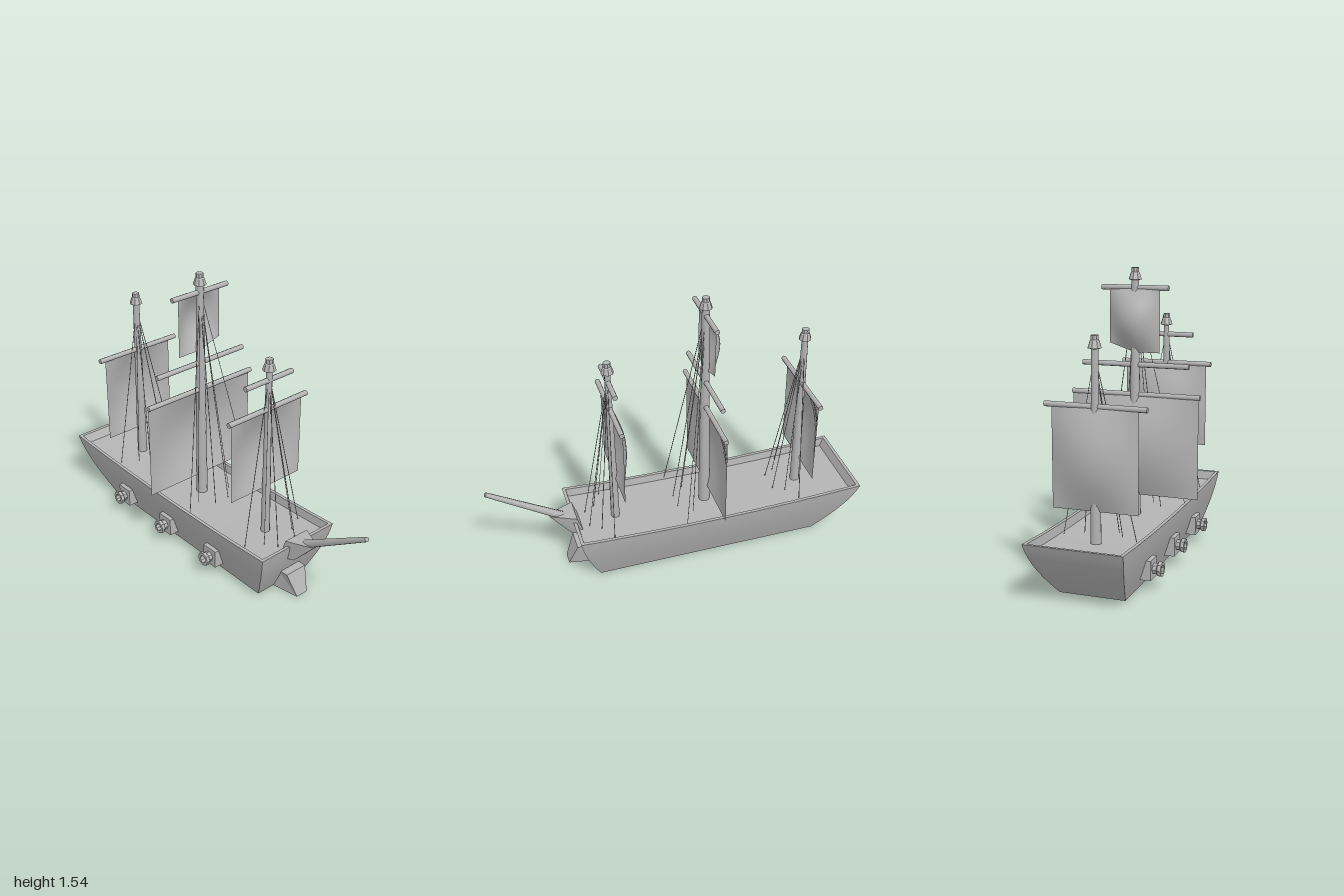
import * as THREE from 'three';

const grey = new THREE.MeshStandardMaterial({ color: 0xb4b4b4, side: THREE.DoubleSide });
grey.name = 'plain grey';

const lerp = (a, b, k) => a + (b - a) * k;

function add(parent, name, geometry) {
  const mesh = new THREE.Mesh(geometry, grey);
  mesh.name = name;
  parent.add(mesh);
  return mesh;
}

// Curved patch: fn(s, t) gives [x, y, z] for s, t in 0..1
function patch(fn, n, m) {
  const geo = new THREE.PlaneGeometry(1, 1, n, m);
  const pos = geo.attributes.position;
  for (let j = 0, i = 0; j <= m; j++) {
    for (let k = 0; k <= n; k++, i++) pos.setXYZ(i, ...fn(k / n, j / m));
  }
  geo.computeVertexNormals();
  return geo;
}

// Tapered rod between two points
function rod(parent, name, a, b, ra, rb, sides = 8) {
  const from = new THREE.Vector3(...a), to = new THREE.Vector3(...b);
  const dir = to.clone().sub(from);
  const mesh = add(parent, name, new THREE.CylinderGeometry(rb, ra, dir.length(), sides));
  mesh.position.copy(from).add(to).multiplyScalar(0.5);
  mesh.quaternion.setFromUnitVectors(new THREE.Vector3(0, 1, 0), dir.normalize());
  return mesh;
}

// Six-sided block from a back and a front quad of corners
function block(back, front) {
  const c = [...back, ...front];
  const quads = [[3, 2, 1, 0], [4, 5, 6, 7], [0, 1, 5, 4], [1, 2, 6, 5], [2, 3, 7, 6], [3, 0, 4, 7]];
  const verts = quads.flatMap(([p, q, r, s]) => [p, q, r, p, r, s].flatMap((i) => c[i]));
  const geo = new THREE.BufferGeometry();
  geo.setAttribute('position', new THREE.Float32BufferAttribute(verts, 3));
  geo.computeVertexNormals();
  return geo;
}

// Hull surface: t is height, s runs stern to bow, k runs across, inset moves inward
const sheer = (x) => 0.285 + 0.023 * ((x + 0.13) / 0.8) ** 2;
function hullPoint(t, s, k, inset = 0) {
  const c = 0.5 * (t + Math.sin(t * Math.PI / 2));
  const x = lerp(-0.715 - 0.245 * c + inset, 0.55 + 0.11 * c - inset, s);
  return [x, t * sheer(x), k * (0.17 + 0.08 * c - inset)];
}

function buildHull(ship) {
  const hull = new THREE.Group();
  hull.name = 'hull';
  ship.add(hull);
  const deckT = 0.85, wall = 0.018;
  // Each band goes from one height and inset to another
  const bands = [
    ['outerWall', 0, 0, 1, 0, 8],
    ['rim', 1, 0, 1, wall, 1],
    ['innerWall', 1, wall, deckT, wall, 1],
  ];
  for (const [name, t0, i0, t1, i1, m] of bands) {
    const at = (s, k, t) => hullPoint(lerp(t0, t1, t), s, k, lerp(i0, i1, t));
    add(hull, name + 'Starboard', patch((s, t) => at(s, 1, t), 16, m));
    add(hull, name + 'Port', patch((s, t) => at(1 - s, -1, t), 16, m));
    add(hull, name + 'Bow', patch((s, t) => at(1, 1 - 2 * s, t), 4, m));
    add(hull, name + 'Stern', patch((s, t) => at(0, 2 * s - 1, t), 4, m));
  }
  add(hull, 'deck', patch((s, t) => hullPoint(deckT, s, 2 * t - 1, wall), 16, 2));
  add(hull, 'bottom', patch((s, t) => hullPoint(0, s, 1 - 2 * t), 1, 1));
}

// Sail hung from a yard, bellying aft
function sail(parent, half, top, bottom, lift) {
  add(parent, 'sail', patch((s, t) => {
    const k = 2 * s - 1;
    const low = bottom + lift * Math.max(0, -k);
    const belly = 0.065 * Math.sin(Math.PI * t) * Math.cos(k * Math.PI / 2);
    return [-0.008 - belly, lerp(top, low, t), k * half];
  }, 14, 12));
}

function buildMast(ship, spec) {
  const { x, top, r, yards, sails, stays } = spec;
  const mast = new THREE.Group();
  mast.name = spec.name;
  mast.position.x = x;
  ship.add(mast);
  rod(mast, 'pole', [0, 0.2, 0], [0, top - 0.05, 0], r, r * 0.62, 10);
  // Flared cap and knob
  const profile = [[0.015, -0.065], [0.035, -0.06], [0.024, -0.026], [0.02, -0.022], [0.02, 0], [0, 0]];
  const cap = new THREE.LatheGeometry(profile.map(([a, b]) => new THREE.Vector2(a, top + b)), 8);
  const flat = cap.toNonIndexed();
  flat.computeVertexNormals();
  add(mast, 'cap', flat);
  for (const [y, length] of yards) {
    rod(mast, 'yard', [0, y, -length / 2], [0, y, length / 2], 0.014, 0.014);
  }
  for (const [half, high, low, lift] of sails) sail(mast, half, high, low, lift);
  for (const [dx, dz] of stays) {
    for (const side of [1, -1]) {
      rod(mast, 'stay', [0, top - 0.09, 0], [dx, 0.26, dz * side], 0.002, 0.002, 4);
    }
  }
}

function buildCannon(ship, x) {
  const cannon = new THREE.Group();
  cannon.name = 'cannon';
  cannon.position.set(x, 0.105, 0);
  ship.add(cannon);
  add(cannon, 'gunPort', new THREE.BoxGeometry(0.095, 0.1, 0.07)).position.z = 0.21;
  // Barrel with a flared muzzle and hollow bore
  const profile = [[0.028, 0.23], [0.028, 0.265], [0.038, 0.272], [0.038, 0.29], [0.022, 0.29], [0.022, 0.25], [0, 0.25]];
  const barrel = new THREE.LatheGeometry(profile.map(([a, b]) => new THREE.Vector2(a, b)), 8).toNonIndexed();
  barrel.rotateX(Math.PI / 2);
  barrel.computeVertexNormals();
  add(cannon, 'barrel', barrel);
}

export function createModel() {
  const model = new THREE.Group();
  model.name = 'sailingShip';
  const ship = new THREE.Group();
  ship.name = 'ship';
  ship.rotation.y = -0.398;
  ship.position.set(-0.022, 0, 0.053);
  model.add(ship);

  buildHull(ship);

  const shortStays = [[0.16, 0.06], [0.1, 0.1], [0.05, 0.19]];
  buildMast(ship, {
    name: 'mizzenMast', x: -0.662, top: 1.255, r: 0.028, stays: shortStays,
    yards: [[0.918, 0.52]], sails: [[0.22, 0.918, 0.41, 0]],
  });
  buildMast(ship, {
    name: 'mainMast', x: -0.107, top: 1.537, r: 0.032,
    stays: [[0.17, 0.225], [0.17, 0.045], [0.1, 0.11]],
    yards: [[1.435, 0.36], [1.04, 0.58], [0.884, 0.7]],
    sails: [[0.135, 1.435, 1.105, 0.045], [0.345, 0.884, 0.35, 0]],
  });
  buildMast(ship, {
    name: 'foreMast', x: 0.413, top: 1.255, r: 0.025, stays: shortStays,
    yards: [[1.14, 0.31], [0.98, 0.52]], sails: [[0.235, 0.98, 0.52, 0]],
  });

  for (const x of [-0.517, -0.137, 0.245]) buildCannon(ship, x);

  // Bow fittings
  add(ship, 'bowspritBase', block(
    [[0.6, 0.22, 0.075], [0.6, 0.22, -0.075], [0.64, 0.34, -0.075], [0.64, 0.34, 0.075]],
    [[0.67, 0.22, 0.04], [0.67, 0.22, -0.04], [0.78, 0.345, -0.015], [0.78, 0.345, 0.015]],
  ));
  rod(ship, 'bowsprit', [0.66, 0.295, 0], [1.1, 0.572, 0], 0.024, 0.013);
  add(ship, 'cutwater', block(
    [[0.54, 0, 0.065], [0.54, 0, -0.065], [0.58, 0.125, -0.065], [0.58, 0.125, 0.065]],
    [[0.7, 0, 0.035], [0.7, 0, -0.035], [0.65, 0.125, -0.065], [0.65, 0.125, 0.065]],
  ));
  return model;
}
